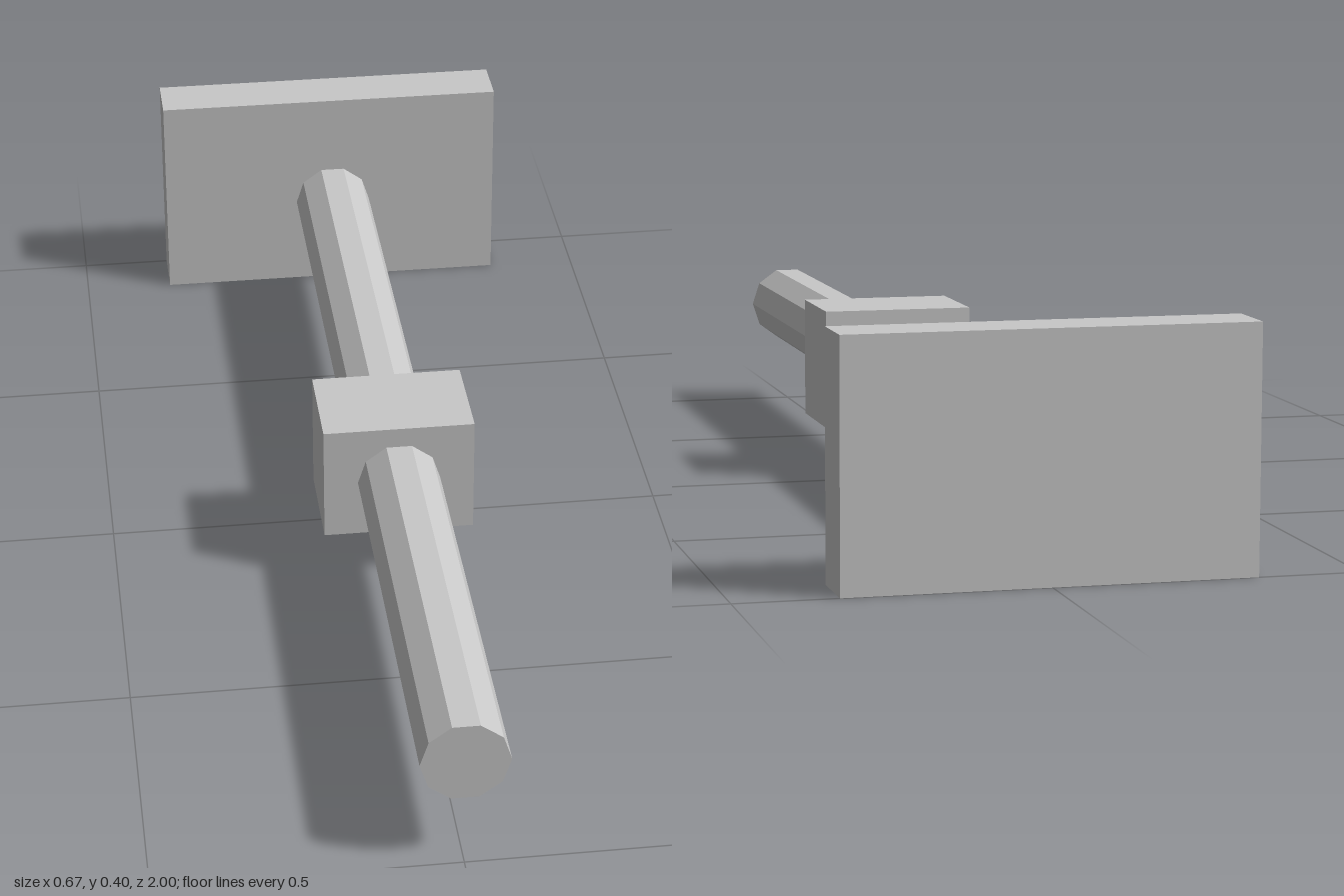
import * as THREE from 'three';

export function createModel() {
  const group = new THREE.Group();
  const grey = new THREE.MeshStandardMaterial({ color: 0xc8c8c8, flatShading: true });
  grey.name = 'light grey';
  const axisY = 0.2;

  function addPart(name, geometry, z) {
    const mesh = new THREE.Mesh(geometry, grey);
    mesh.name = name;
    mesh.position.set(0, axisY, z);
    group.add(mesh);
  }

  // Ten-sided rod along z, with corners on the x axis
  const rodBack = -0.853, rodFront = 1;
  const rodLength = rodFront - rodBack;
  const rod = new THREE.CylinderGeometry(0.073, 0.073, rodLength, 10, 1, false, Math.PI / 2);
  rod.rotateX(Math.PI / 2);
  addPart('rod', rod, (rodFront + rodBack) / 2);

  // Block the rod passes through
  addPart('slidingBlock', new THREE.BoxGeometry(0.266, 0.212, 0.184), 0.099);

  // Upright plate just behind the rod
  addPart('backPlate', new THREE.BoxGeometry(0.666, 0.4, 0.102), -0.949);

  return group;
}
